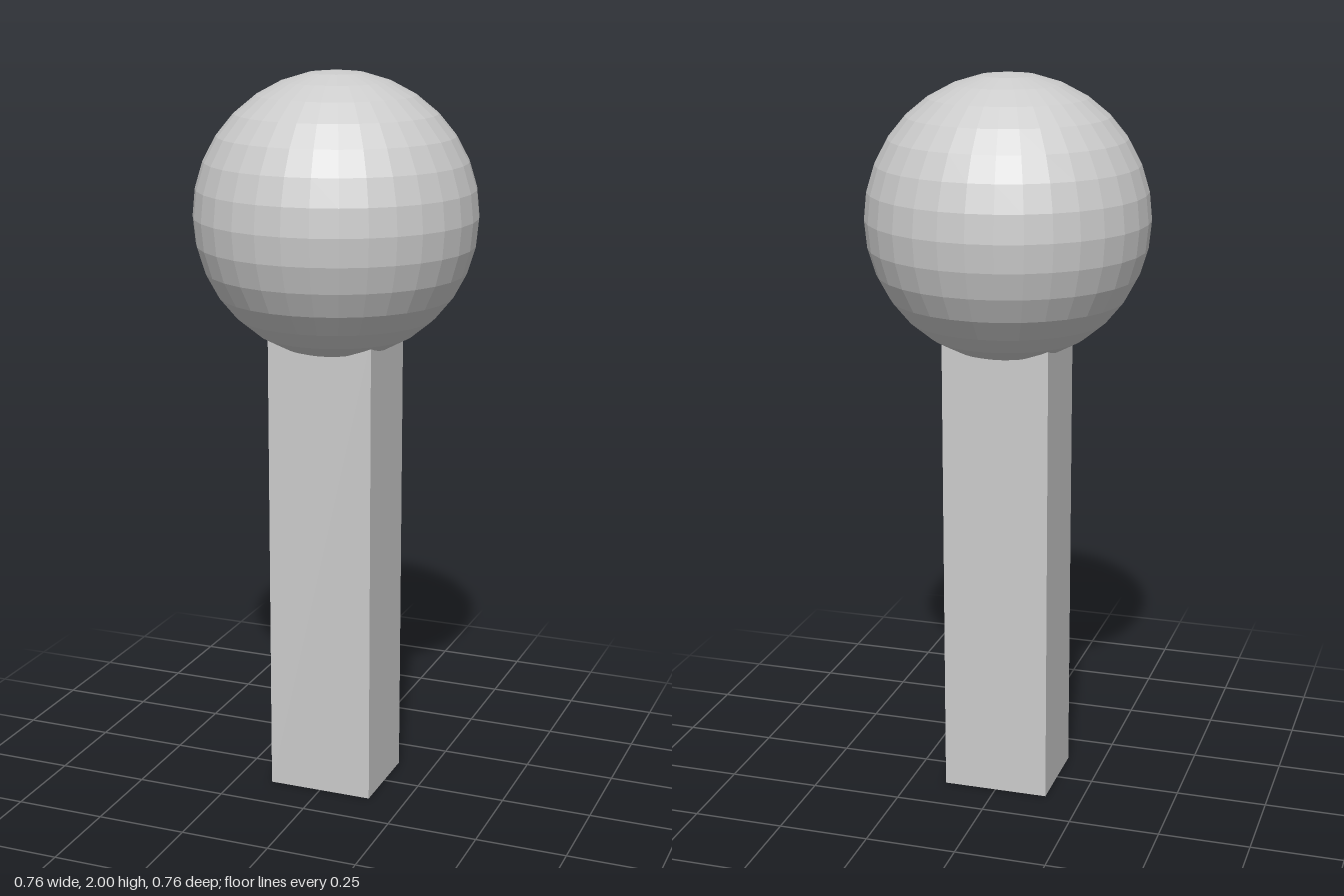
import * as THREE from 'three';

export function createModel() {
  const group = new THREE.Group();
  const material = new THREE.MeshStandardMaterial({ color: 0xcccccc, flatShading: true });

  const radius = 0.382;
  const centreY = 2 - radius;
  const postHeight = 1.32; // top end sits just inside the ball

  // Rectangular post
  const post = new THREE.Mesh(new THREE.BoxGeometry(0.295, postHeight, 0.252), material);
  post.name = 'post';
  post.position.y = postHeight / 2;
  group.add(post);

  // Faceted ball on top
  const ball = new THREE.Mesh(new THREE.SphereGeometry(radius, 32, 16), material);
  ball.name = 'ball';
  ball.position.y = centreY;
  group.add(ball);

  return group;
}
